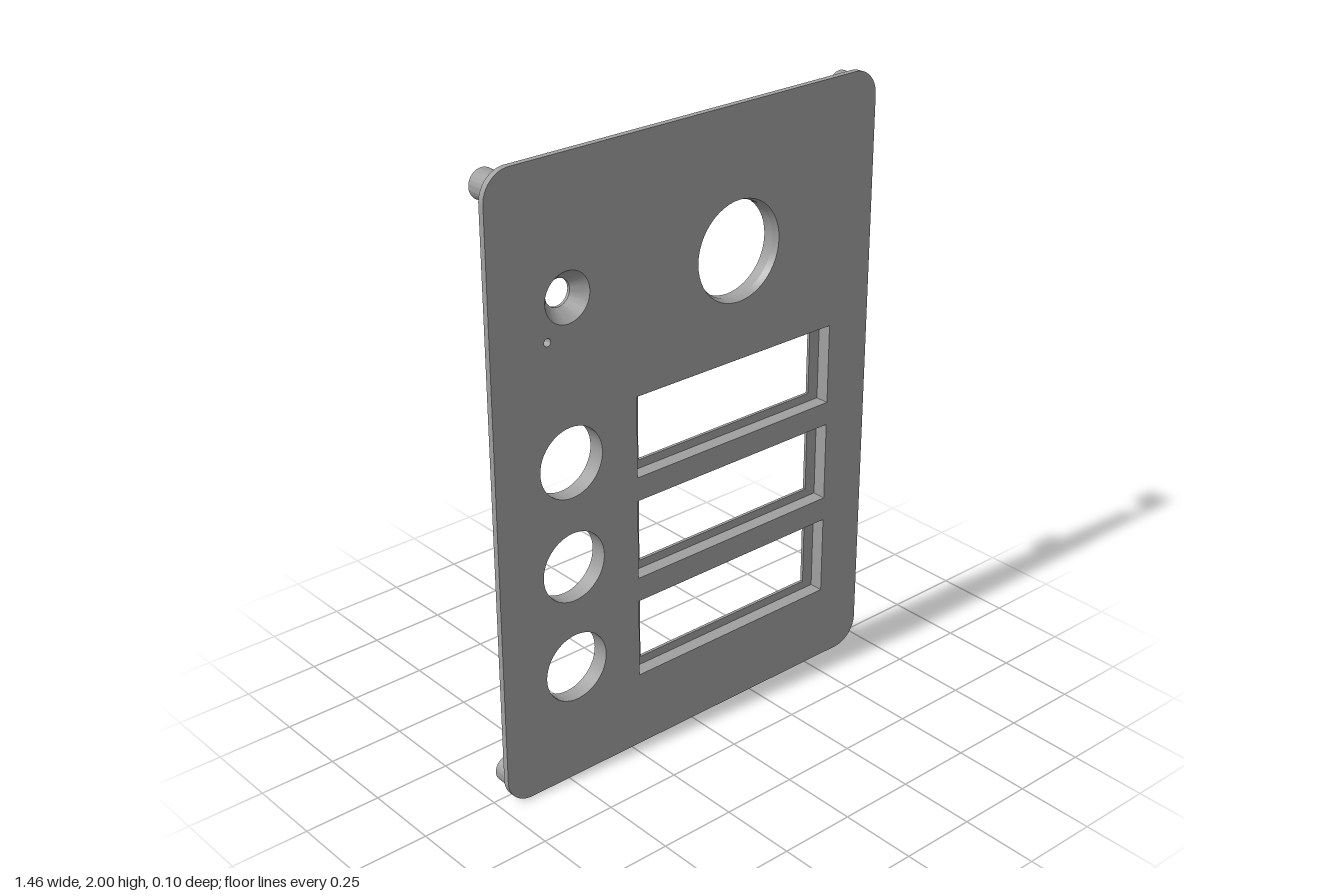
import * as THREE from 'three';
import { toCreasedNormals } from 'three/addons/utils/BufferGeometryUtils.js';

const ROWS = [1.07, 0.728, 0.384];   // heights of the three button rows
const BUTTON_X = -0.46;

export function createModel() {
  const group = new THREE.Group();
  group.name = 'doorPanel';
  const grey = new THREE.MeshStandardMaterial({ color: 0xa0a0a0 });
  grey.name = 'plainGrey';

  const add = (name, geometry) => {
    const mesh = new THREE.Mesh(toCreasedNormals(geometry, 0.5), grey);
    mesh.name = name;
    group.add(mesh);
    return mesh;
  };

  // Rectangle outline with optional rounded corners
  const rect = (x0, y0, x1, y1, r = 0) => {
    const s = new THREE.Shape();
    if (!r) {
      return s.moveTo(x0, y0).lineTo(x1, y0).lineTo(x1, y1).lineTo(x0, y1).closePath();
    }
    s.moveTo(x0 + r, y0);
    s.absarc(x1 - r, y0 + r, r, -Math.PI / 2, 0);
    s.absarc(x1 - r, y1 - r, r, 0, Math.PI / 2);
    s.absarc(x0 + r, y1 - r, r, Math.PI / 2, Math.PI);
    s.absarc(x0 + r, y0 + r, r, Math.PI, Math.PI * 1.5);
    return s;
  };
  const circle = (x, y, r) => new THREE.Path().absarc(x, y, r, 0, Math.PI * 2, true);

  // One sheet with all openings cut through it
  const layer = (name, outline, z0, z1, cameraR, sensorR, winW, winH) => {
    outline.holes.push(
      circle(0.18, 1.55, cameraR),
      circle(BUTTON_X, 1.58, sensorR),
      circle(-0.534, 1.466, 0.012));
    for (const y of ROWS) {
      outline.holes.push(circle(BUTTON_X, y, 0.113));
      outline.holes.push(rect(0.175 - winW, y - winH, 0.175 + winW, y + winH));
    }
    const geo = new THREE.ExtrudeGeometry(outline, {
      depth: z1 - z0, bevelEnabled: false, curveSegments: 24,
    });
    add(name, geo.translate(0, 0, z0));
  };
  const slab = () => rect(-0.593, 0.125, 0.59, 1.86);
  layer('frontPlate', rect(-0.73, 0, 0.73, 2, 0.088), 0.03, 0.05, 0.16, 0.079, 0.391, 0.132);
  layer('backSlab', slab(), 0.005, 0.03, 0.152, 0.079, 0.391, 0.132);
  layer('windowLedgeSlab', slab(), -0.005, 0.005, 0.152, 0.043, 0.35, 0.104);

  // Turned parts: profile points are [radius, distance towards the back]
  const turned = (name, x, y, profile) => {
    const geo = new THREE.LatheGeometry(profile.map(p => new THREE.Vector2(...p)), 48);
    add(name, geo.rotateX(-Math.PI / 2)).position.set(x, y, 0);
  };

  // Conical walls of the sensor and camera openings
  turned('sensorCountersink', BUTTON_X, 1.58, [[0.043, -0.005], [0.079, -0.05]]);
  turned('cameraChamfer', 0.18, 1.55, [[0.152, -0.03], [0.16, -0.05]]);

  // Hollow screw bosses on the back
  const boss = (name, x, y, base, top, baseR, topR, holeR) =>
    turned(name, x, y, [[baseR, base], [topR, top], [holeR, top], [holeR, base + 0.001], [0, base + 0.001]]);
  for (const x of [-0.665, 0.665]) {
    for (const y of [0.07, 1.935]) boss('cornerBoss', x, y, -0.03, 0.04, 0.045, 0.045, 0.023);
  }
  for (const y of [1.29, 1.79]) boss('sensorBoss', BUTTON_X, y, 0.005, 0.03, 0.057, 0.057, 0.025);
  for (const x of [-0.07, 0.433]) boss('cameraBoss', x, 1.55, 0.005, 0.05, 0.057, 0.041, 0.023);

  return group;
}
